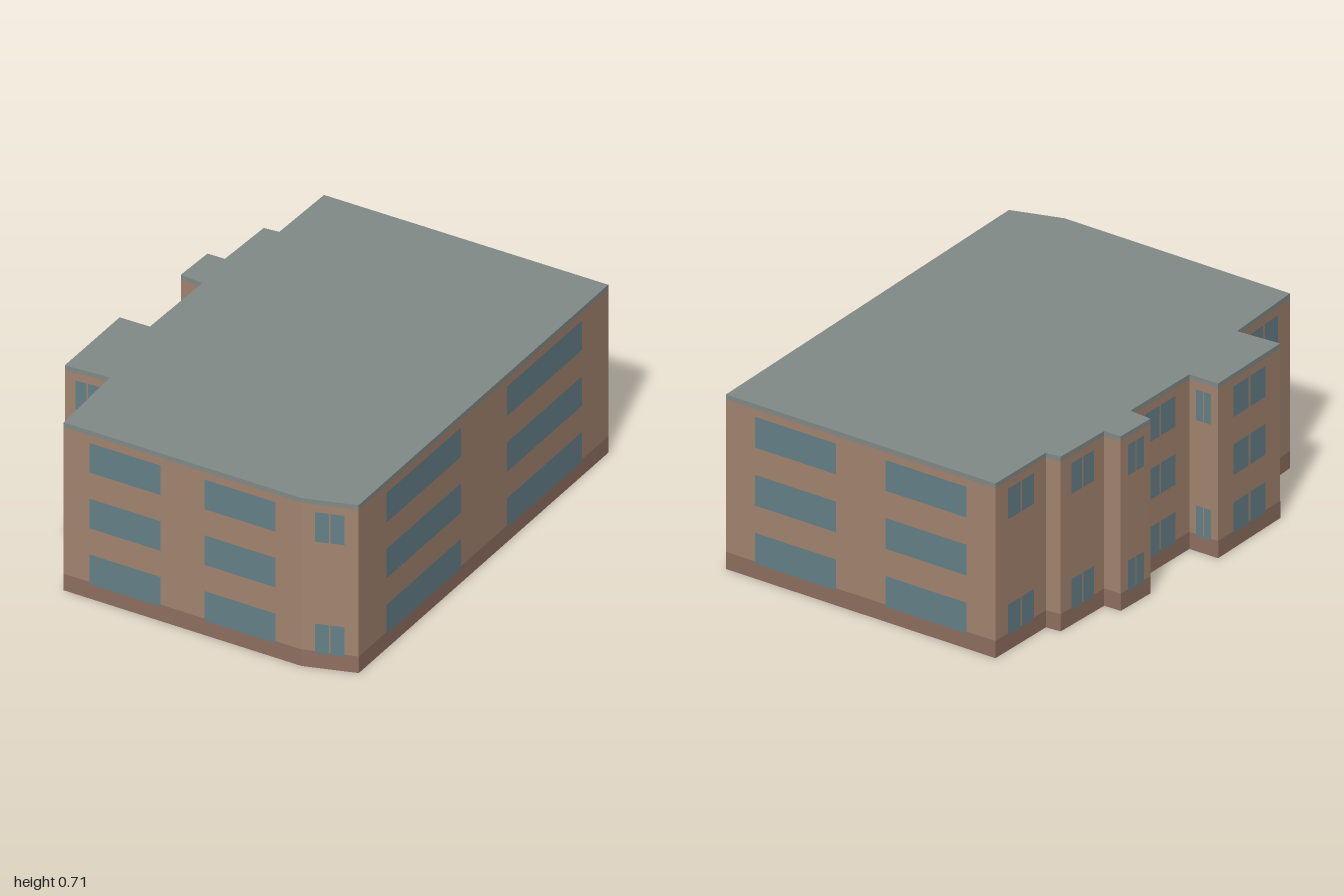
import * as THREE from 'three';
import { mergeGeometries } from 'three/addons/utils/BufferGeometryUtils.js';

const TOP = 0.71, EAVES = 0.69, BASE = 0.07;
const FLOORS = [[0.062, 0.187], [0.298, 0.423], [0.534, 0.659]];
const ALL = [0, 1, 2], ENDS = [0, 2];
const WIDE = [[0.107, 0.407], [0.591, 0.891]];   // two long windows
const PAIR = [[0.24, 0.485], [0.515, 0.76]];     // two panes with a mullion

// Footprint corners [x, z], clockwise from above; each starts a wall
// with its window layout and the floors that have windows.
const CORNERS = [
  [-1.0, -0.427, PAIR, ENDS],
  [-0.65, -0.497, PAIR, ENDS],
  [-0.688, -0.677, PAIR, ALL],
  [-0.302, -0.736, PAIR, ENDS],
  [-0.283, -0.61, PAIR, ALL],
  [0.073, -0.656],
  [0.069, -0.753, PAIR, ENDS],
  [0.245, -0.772],
  [0.256, -0.7, PAIR, ENDS],
  [0.513, -0.728],
  [0.527, -0.667, PAIR, ENDS],
  [0.83, -0.705, WIDE, ALL],
  [0.995, 0.49, WIDE, ALL],
  [-0.773, 0.767, PAIR, ENDS],
  [-0.865, 0.575, WIDE, ALL],
];

// Upright panel on wall i, from fraction f0 to f1 and height y0 to y1, pushed outwards
function panel(i, f0, f1, y0, y1, out) {
  const [ax, az] = CORNERS[i], [bx, bz] = CORNERS[(i + 1) % CORNERS.length];
  const dx = bx - ax, dz = bz - az, len = Math.hypot(dx, dz), f = (f0 + f1) / 2;
  const nx = dz / len, nz = -dx / len;
  return new THREE.PlaneGeometry(len * (f1 - f0), y1 - y0)
    .rotateY(Math.atan2(nx, nz))
    .translate(ax + dx * f + nx * out, (y0 + y1) / 2, az + dz * f + nz * out);
}

function addMesh(group, name, geometry, color, side = THREE.FrontSide) {
  const mesh = new THREE.Mesh(geometry, new THREE.MeshStandardMaterial({ color, side }));
  mesh.name = name;
  group.add(mesh);
}

export function createModel() {
  const group = new THREE.Group();
  group.name = 'building';

  const walls = [], plinth = [], windows = [];
  CORNERS.forEach(([, , layout = [], floors = []], i) => {
    walls.push(panel(i, 0, 1, 0, EAVES, 0));
    plinth.push(panel(i, 0, 1, 0, BASE, 0.001));
    for (const [f0, f1] of layout)
      for (const k of floors) windows.push(panel(i, f0, f1, ...FLOORS[k], 0.002));
  });

  // Hollow shell, open underneath
  addMesh(group, 'walls', mergeGeometries(walls), 0xa3846f, THREE.DoubleSide);
  addMesh(group, 'plinth', mergeGeometries(plinth), 0x8f6f60);
  addMesh(group, 'windows', mergeGeometries(windows), 0x658088);

  // Flat roof slab
  const outline = new THREE.Shape(CORNERS.map(([x, z]) => new THREE.Vector2(x, -z)));
  const slab = new THREE.ExtrudeGeometry(outline, { depth: TOP - EAVES, bevelEnabled: false });
  slab.rotateX(-Math.PI / 2).translate(0, EAVES, 0);
  addMesh(group, 'roof', slab, 0x818a86);

  return group;
}
